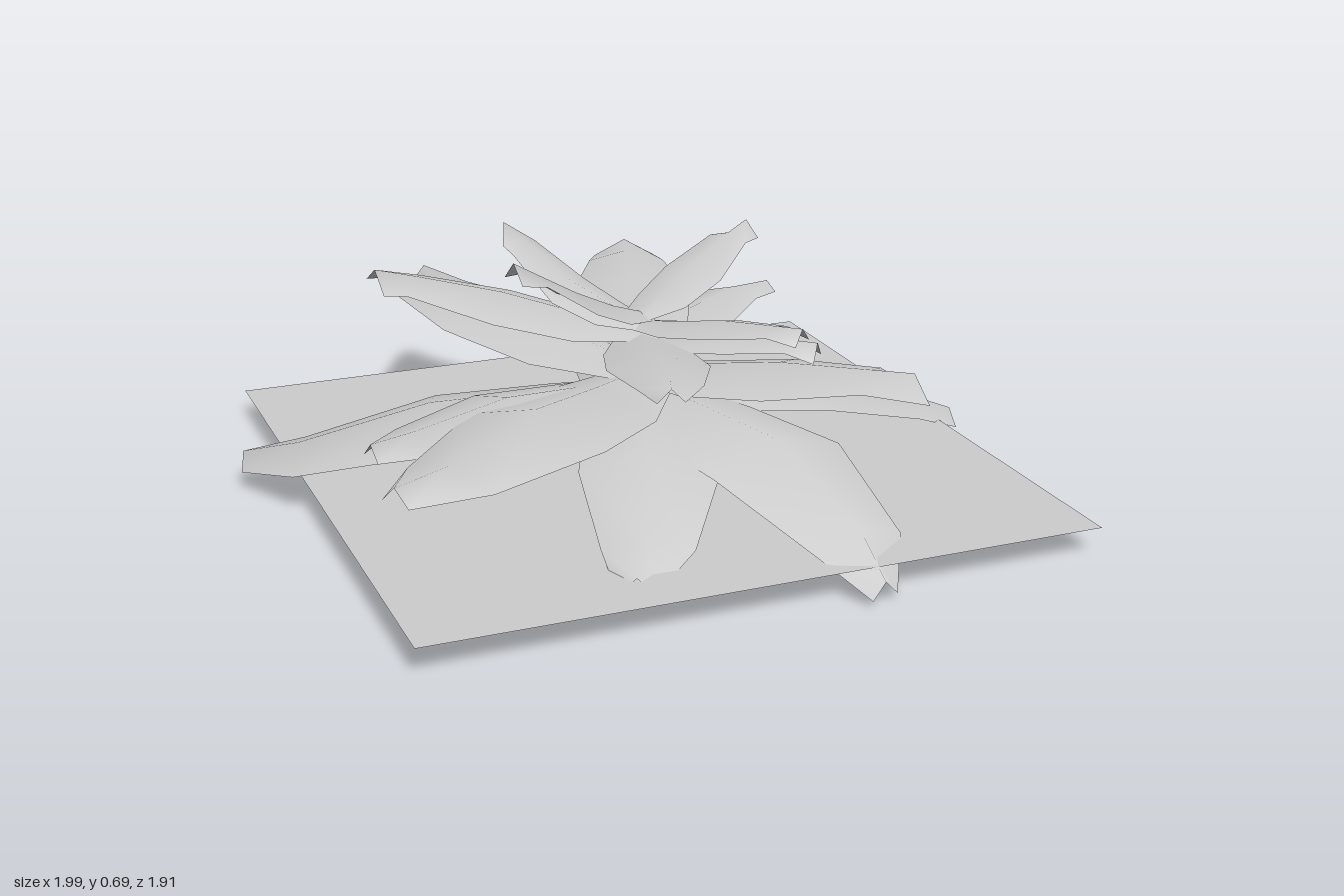
import * as THREE from 'three';

const material = new THREE.MeshStandardMaterial({ color: 0xcccccc, side: THREE.DoubleSide });
const STEM_X = 0.03;

// Each leaf: tip x, tip z, base y, middle y, tip y, half width, half width of tip, sideways bend, tip slant
const TIERS = {
  crownLeaf: [
    [-0.34, 0.06, 0.48, 0.575, 0.68, 0.11, 0.05, -0.01, 0],
    [0.43, -0.19, 0.48, 0.57, 0.655, 0.1, 0.045, -0.01, 0],
    [-0.26, -0.255, 0.46, 0.56, 0.7, 0.12, 0.055, 0, 0.02],
    [-0.605, -0.325, 0.44, 0.53, 0.585, 0.155, 0.077, 0.01, 0.04],
  ],
  upperLeaf: [
    [0.33, 0.38, 0.46, 0.505, 0.52, 0.095, 0.04, 0, 0],
    [0.41, 0.31, 0.42, 0.455, 0.45, 0.1, 0.045, 0, 0],
    [0.265, -0.7, 0.42, 0.47, 0.48, 0.17, 0.09, 0, 0],
    [-0.11, 0.56, 0.43, 0.47, 0.475, 0.135, 0.035, -0.01, 0],
  ],
  middleLeaf: [
    [0.59, -0.38, 0.35, 0.395, 0.405, 0.125, 0.03, -0.06, 0],
    [0.6, 0.49, 0.34, 0.39, 0.4, 0.175, 0.09, 0, 0.06],
    [-0.79, 0.49, 0.32, 0.37, 0.295, 0.22, 0.045, -0.055, 0],
    [-0.76, 0.16, 0.3, 0.335, 0.28, 0.18, 0.04, -0.02, 0],
    [-0.29, -0.95, 0.34, 0.415, 0.39, 0.19, 0.035, -0.08, 0],
  ],
  lowerLeaf: [
    [-0.98, -0.37, 0.3, 0.265, 0.1, 0.23, 0.045, -0.08, 0],
    [0.99, 0.02, 0.3, 0.255, 0.09, 0.21, 0.045, -0.05, 0],
    [0.29, 0.94, 0.3, 0.265, 0.06, 0.21, 0.04, -0.06, 0],
    [-0.28, 0.76, 0.29, 0.25, 0.09, 0.18, 0.045, -0.03, 0],
    [0.32, -0.71, 0.29, 0.25, 0.055, 0.19, 0.055, 0, 0],
  ],
};

// Position along the leaf, share of its half width, share of its bend
const BREAK = 0.52;
const OUTLINE = [[-0.08, 0.35, 0], [0.22, 0.86, 0.5], [BREAK, 1, 1], [0.85, 0.64, 0.9], [1, 0, 0]];

// An angular blade with a raised midrib, lofted from three-point cross-sections
function leafGeometry([tipX, tipZ, y0, y1, y2, half, tipHalf, bend, slant]) {
  const length = Math.hypot(tipX - STEM_X, tipZ);
  const dx = (tipX - STEM_X) / length, dz = tipZ / length;
  const points = [], index = [];
  for (const [t, share, bendShare] of OUTLINE) {
    const atTip = t === 1;
    const width = atTip ? tipHalf : half * share;
    const droop = atTip ? Math.min(0.05, tipHalf) : width * 0.28;
    const y = t < BREAK
      ? THREE.MathUtils.lerp(y0, y1, Math.max(t, 0) / BREAK)
      : THREE.MathUtils.lerp(y1, y2, (t - BREAK) / (1 - BREAK));
    for (const u of [-1, 0, 1]) {
      const side = u * width + bend * bendShare;
      const along = t * length + (atTip ? u * slant : 0);
      points.push(STEM_X + dx * along - dz * side, y - Math.abs(u) * droop, dz * along + dx * side);
    }
  }
  for (let i = 0; i < OUTLINE.length - 1; i++) {
    for (let j = 0; j < 2; j++) {
      const a = i * 3 + j, b = a + 3;
      index.push(a, a + 1, b, a + 1, b + 1, b);
    }
  }
  const geometry = new THREE.BufferGeometry();
  geometry.setAttribute('position', new THREE.Float32BufferAttribute(points, 3));
  geometry.setIndex(index);
  geometry.computeVertexNormals();
  return geometry;
}

export function createModel() {
  const model = new THREE.Group();
  model.name = 'leafyPlant';

  // Flat ground sheet, pierced by the lowest leaf tips
  const sheet = new THREE.Mesh(new THREE.PlaneGeometry(1.79, 1.79).rotateX(-Math.PI / 2), material);
  sheet.name = 'groundSheet';
  sheet.position.set(0.03, 0.08, 0);
  model.add(sheet);

  // Thin tapered stem
  const stem = new THREE.Mesh(new THREE.CylinderGeometry(0.008, 0.02, 0.42, 6), material);
  stem.name = 'stem';
  stem.position.set(STEM_X, 0.265, 0);
  model.add(stem);

  // Four tiers of leaves around the stem
  for (const [name, leaves] of Object.entries(TIERS)) {
    const tier = new THREE.Group();
    tier.name = name + 'Tier';
    for (const leaf of leaves) {
      const mesh = new THREE.Mesh(leafGeometry(leaf), material);
      mesh.name = name;
      tier.add(mesh);
    }
    model.add(tier);
  }
  return model;
}
